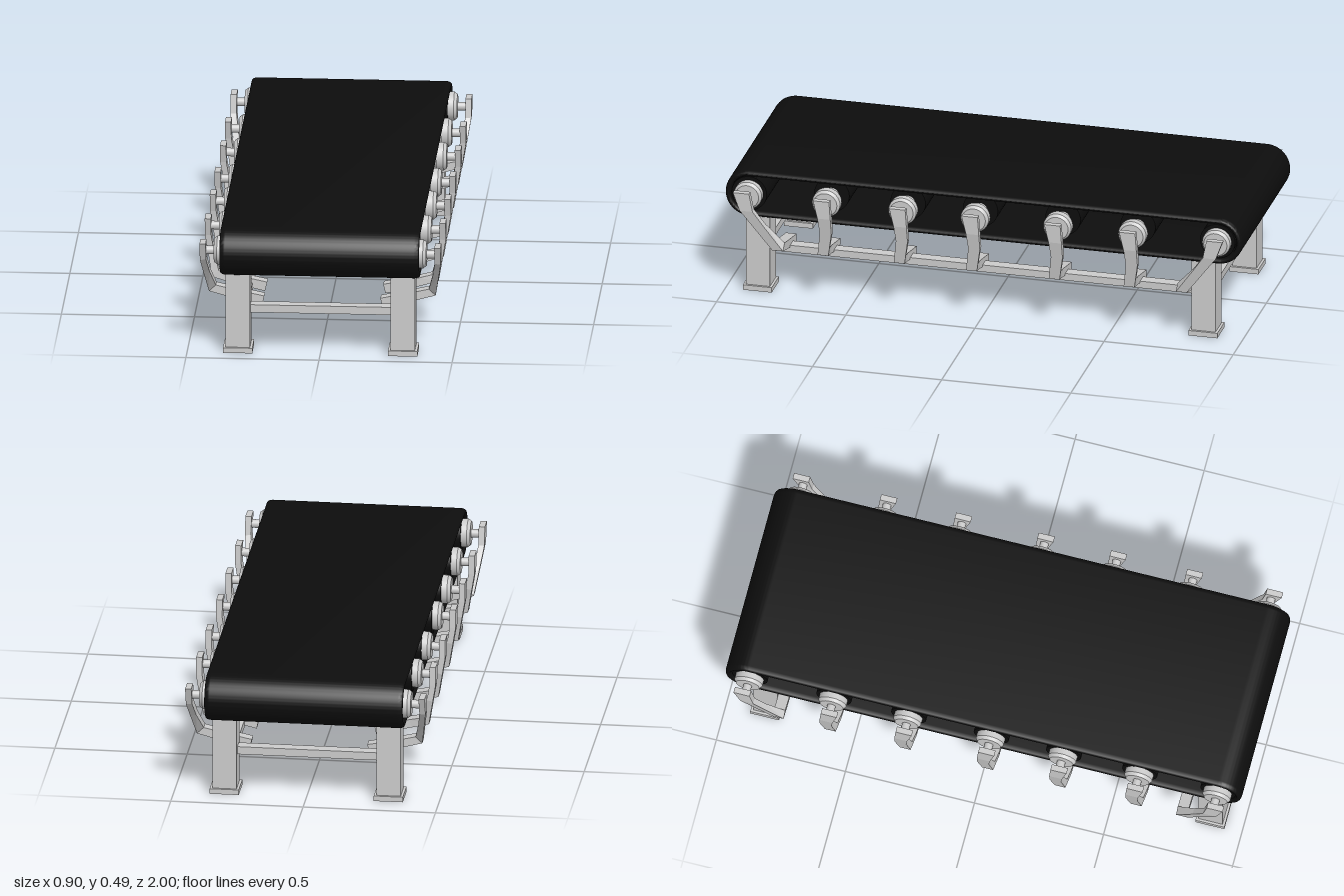
import * as THREE from 'three';
import { toCreasedNormals } from 'three/addons/utils/BufferGeometryUtils.js';

const grey = new THREE.MeshStandardMaterial({ color: 0xcccccc });
const greyFlat = new THREE.MeshStandardMaterial({ color: 0xcccccc, flatShading: true });
const black = new THREE.MeshStandardMaterial({ color: 0x0d0d0d });

const AXLE_Y = 0.397;

function add(parent, name, geometry, material, x = 0, y = 0, z = 0) {
  const mesh = new THREE.Mesh(geometry, material);
  mesh.name = name;
  mesh.position.set(x, y, z);
  parent.add(mesh);
  return mesh;
}

function box(parent, name, w, h, d, x, y, z) {
  return add(parent, name, new THREE.BoxGeometry(w, h, d), grey, x, y, z);
}

// Cylinder lying along x between two distances from the middle; side s is +1 or -1
function xCylinder(parent, name, x0, x1, r0, r1, material, z, s = 1) {
  const geometry = new THREE.CylinderGeometry(r1, r0, x1 - x0, 32);
  const mesh = add(parent, name, geometry, material, s * (x0 + x1) / 2, AXLE_Y, z);
  mesh.rotation.z = -s * Math.PI / 2;
  return mesh;
}

// Long loop with round ends, in the (z, y) plane
function stadium(PathType, halfStraight, r) {
  const p = new PathType();
  p.absarc(halfStraight, 0, r, -Math.PI / 2, Math.PI / 2, false);
  p.absarc(-halfStraight, 0, r, Math.PI / 2, Math.PI * 1.5, false);
  p.closePath();
  return p;
}

function beltGeometry() {
  const shape = stadium(THREE.Shape, 0.908, 0.092);
  shape.holes.push(stadium(THREE.Path, 0.908, 0.069));
  const geometry = new THREE.ExtrudeGeometry(shape, {
    depth: 0.71, curveSegments: 24, bevelEnabled: true,
    bevelThickness: 0.02, bevelSize: 0.0105, bevelOffset: -0.0105, bevelSegments: 4,
  });
  geometry.translate(0, 0, -0.355);
  geometry.rotateY(Math.PI / 2);
  return toCreasedNormals(geometry, 0.6);
}

// Bent flat bar: points are [x, y, z, width along z, thickness]
function barGeometry(points) {
  const pos = [], index = [];
  const dir = (i) => new THREE.Vector2(
    points[i + 1][0] - points[i][0], points[i + 1][1] - points[i][1]).normalize();
  const last = points.length - 1;
  points.forEach(([x, y, z, w, t], i) => {
    const before = dir(Math.max(i - 1, 0)), after = dir(Math.min(i, last - 1));
    const tangent = before.clone().add(after).normalize();
    const half = t / 2 / tangent.dot(after);
    const nx = -tangent.y * half, ny = tangent.x * half;
    for (const [a, b] of [[1, 1], [-1, 1], [-1, -1], [1, -1]])
      pos.push(x + a * nx, y + a * ny, z + b * w / 2);
  });
  for (let i = 0; i < last; i++)
    for (let k = 0; k < 4; k++) {
      const a = i * 4 + k, b = i * 4 + (k + 1) % 4;
      index.push(a, b, b + 4, a, b + 4, a + 4);
    }
  const e = last * 4;
  index.push(0, 2, 1, 0, 3, 2, e, e + 1, e + 2, e, e + 2, e + 3);
  const geometry = new THREE.BufferGeometry();
  geometry.setAttribute('position', new THREE.Float32BufferAttribute(pos, 3));
  geometry.setIndex(index);
  const flat = geometry.toNonIndexed();
  flat.computeVertexNormals();
  return flat;
}

// Bracket from the axle end down and in under the rail; dz holds its z offsets
function bracket(parent, s, z, dz) {
  const points = [
    [0.441, 0.432, dz[0], 0.062, 0.023],
    [0.441, 0.362, dz[1], 0.05, 0.023],
    [0.431, 0.300, dz[2], 0.045, 0.023],
    [0.413, 0.213, dz[3], 0.042, 0.03],
    [0.355, 0.198, dz[4], 0.042, 0.032],
    [0.222, 0.168, dz[4], 0.042, 0.036],
  ].map(([x, y, d, w, t]) => [s * x, y, z + d, w, t]);
  add(parent, 'rollerBracket', barGeometry(points), greyFlat);
}

export function createModel() {
  const model = new THREE.Group();
  model.name = 'conveyor';

  add(model, 'belt', beltGeometry(), black, 0, AXLE_Y, 0);

  // Rollers with end caps, axle stubs and brackets
  const rollerZ = [0.908, 0.605, 0.31, 0.03, -0.29, -0.58, -0.905];
  rollerZ.forEach((z, i) => {
    const end = i === 0 ? 1 : i === rollerZ.length - 1 ? -1 : 0;
    const roller = new THREE.Group();
    roller.name = end ? 'endRoller' : 'middleRoller';
    model.add(roller);
    xCylinder(roller, 'rollerBody', -0.365, end ? 0.365 : 0.30, 0.068, 0.068, black, z);
    if (!end) xCylinder(roller, 'rollerCone', 0.30, 0.38, 0.028, 0.054, grey, z);
    for (const s of [1, -1]) {
      xCylinder(roller, 'rollerCap', 0.36, 0.387, 0.054, 0.054, grey, z, s);
      xCylinder(roller, 'capTaper', 0.387, 0.399, 0.054, 0.045, grey, z, s);
      xCylinder(roller, 'axle', 0.39, 0.435, 0.016, 0.016, grey, z, s);
      const dz = end
        ? [0.01, -0.01, -0.055, -0.125, -0.125].map((d) => d * end)
        : [0.003, -0.008, -0.012, 0.002, 0.008];
      bracket(roller, s, z, dz);
    }
  });

  // Frame: legs on feet, long side rails and cross bars
  const frame = new THREE.Group();
  frame.name = 'frame';
  model.add(frame);
  for (const z of [0.877, -0.848]) {
    for (const s of [1, -1]) {
      box(frame, 'leg', 0.091, 0.295, 0.093, s * 0.31, 0.1625, z);
      box(frame, 'foot', 0.11, 0.02, 0.112, s * 0.31, 0.01, z);
    }
    box(frame, 'crossBar', 0.56, 0.03, 0.045, 0, 0.166, z);
  }
  for (const s of [1, -1])
    box(frame, 'sideRail', 0.045, 0.028, 1.68, s * 0.295, 0.166, 0.0145);

  return model;
}
